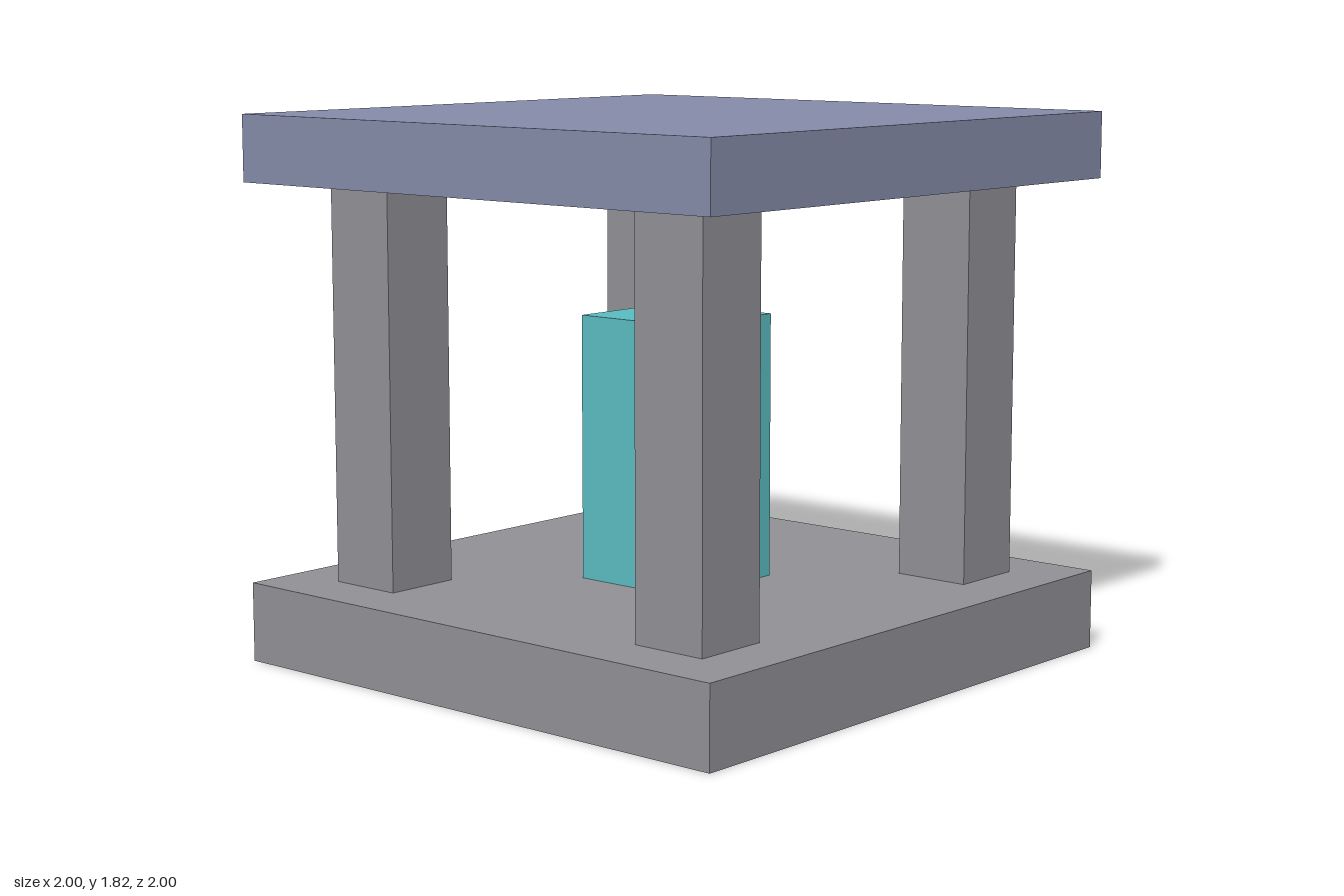
import * as THREE from 'three';

// Everything sits on a grid of 45 units across a 2-unit width
const U = 2 / 45;
const SIDES = ['+x', '-x', '+y', '-y', '+z', '-z'];

// Box without the listed sides
function openBox(w, h, d, open) {
  const geometry = new THREE.BoxGeometry(w, h, d);
  const all = Array.from(geometry.index.array);
  geometry.setIndex(all.filter((_, i) => !open.includes(SIDES[Math.floor(i / 6)])));
  geometry.clearGroups();
  return geometry;
}

function flatMaterial(name, color) {
  const material = new THREE.MeshStandardMaterial({ color, side: THREE.DoubleSide });
  material.name = name;
  return material;
}

export function createModel() {
  const group = new THREE.Group();
  group.name = 'pavilion';

  const stone = flatMaterial('stone grey', 0x909095);
  const slate = flatMaterial('slate blue', 0x858ba9);
  const teal = flatMaterial('teal', 0x5abcc0);

  // Adds a square block, given in grid units, standing on height y
  function block(name, material, width, height, x, y, z, open) {
    const mesh = new THREE.Mesh(openBox(width * U, height * U, width * U, open), material);
    mesh.name = name;
    mesh.position.set(x * U, (y + height / 2) * U, z * U);
    group.add(mesh);
  }

  // Base and roof are hollow slabs, open underneath
  block('base', stone, 45, 6, 0, 0, 0, ['-y']);
  block('roof', slate, 45, 5, 0, 36, 0, ['-y']);

  // Four corner pillars between base and roof
  for (const [sx, xName] of [[1, 'Left'], [-1, 'Right']]) {
    for (const [sz, zName] of [[1, 'front'], [-1, 'back']]) {
      block(`${zName}${xName}Pillar`, stone, 6, 30, sx * 15, 6, sz * 15, ['+y', '-y']);
    }
  }

  // Central core block
  block('core', teal, 10, 20, 0, 6, 0, ['-y']);

  return group;
}
